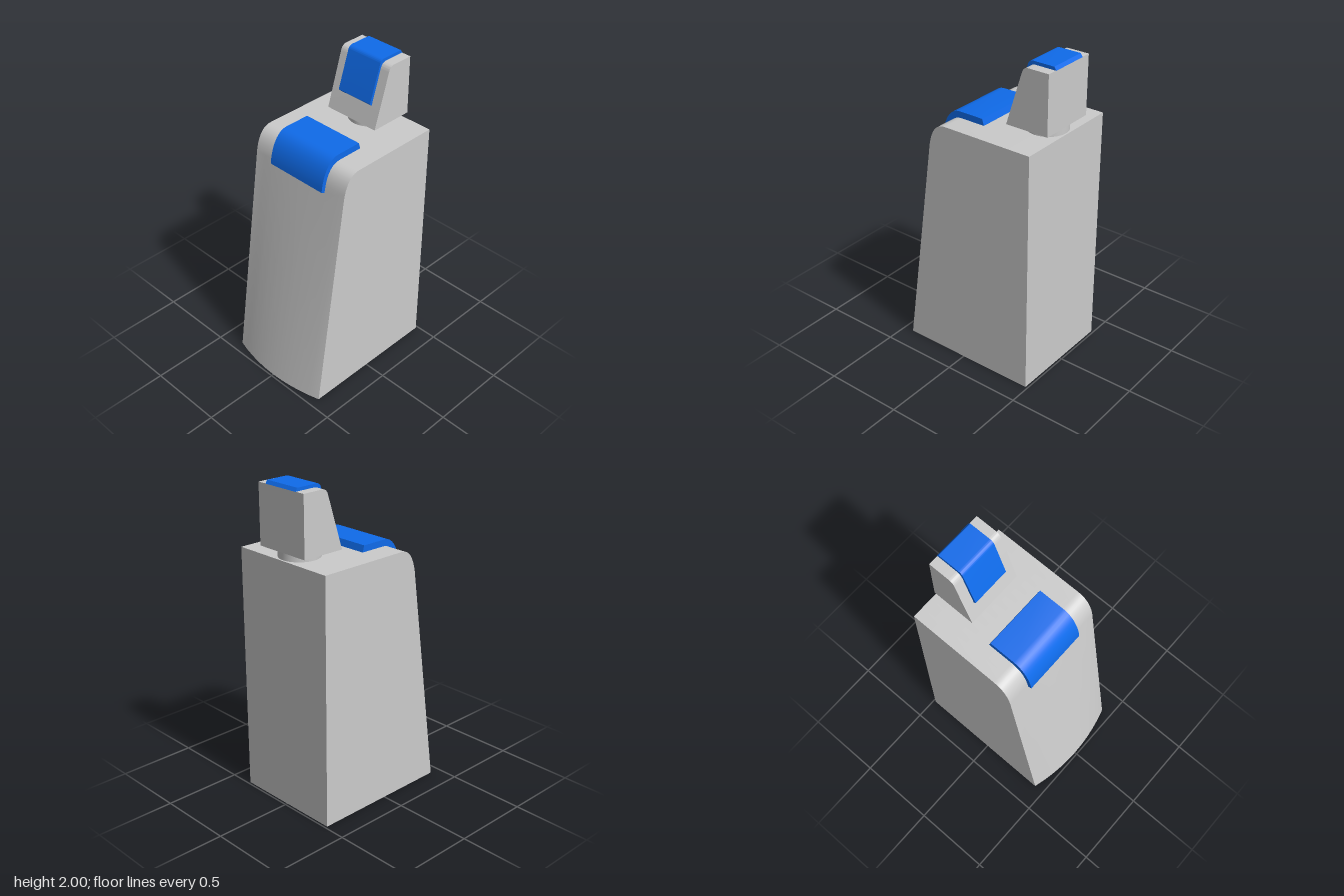
import * as THREE from 'three';
import { toCreasedNormals } from 'three/addons/utils/BufferGeometryUtils.js';

const grey = new THREE.MeshStandardMaterial({ color: 0xcccccc });
const blue = new THREE.MeshStandardMaterial({ color: 0x0f6bea });

// Extrudes a side profile drawn in (z, y) across the width, centred on x = 0
function sideExtrude(shape, width, steps = 1) {
  const geo = new THREE.ExtrudeGeometry(shape, { depth: width, steps, bevelEnabled: false, curveSegments: 10 });
  geo.translate(0, 0, -width / 2);
  geo.rotateY(-Math.PI / 2);
  return geo;
}

function addPart(group, name, geo, material) {
  const mesh = new THREE.Mesh(toCreasedNormals(geo, 0.5), material);
  mesh.name = name;
  group.add(mesh);
}

export function createModel() {
  const group = new THREE.Group();
  group.name = 'pedestalDispenser';

  // Tall body: sloping front with a rounded shoulder
  const shoulderY = 1.42, halfWidth = 0.357;
  const body = new THREE.Shape();
  body.moveTo(-0.485, 0);
  body.lineTo(0.432, 0);
  body.lineTo(0.226, shoulderY);
  body.quadraticCurveTo(0.2, 1.565, 0.11, 1.565);
  body.lineTo(-0.485, 1.565);
  body.closePath();
  const bodyGeo = sideExtrude(body, halfWidth * 2, 10);

  // Bow the front outwards, strongest at the foot and fading to the shoulder
  const pos = bodyGeo.attributes.position;
  for (let i = 0; i < pos.count; i++) {
    const x = pos.getX(i), y = pos.getY(i), z = pos.getZ(i);
    if (z > 0 && y < shoulderY) {
      pos.setZ(i, z + 0.053 * (1 - (x / halfWidth) ** 2) * (1 - y / shoulderY));
    }
  }
  addPart(group, 'body', bodyGeo, grey);

  // Curved plate wrapped over the shoulder
  const plate = new THREE.Shape();
  plate.moveTo(0.229, 1.397);
  plate.lineTo(0.253, 1.41);
  plate.bezierCurveTo(0.245, 1.5, 0.2, 1.605, 0.125, 1.605);
  plate.lineTo(-0.044, 1.605);
  plate.lineTo(-0.057, 1.565);
  plate.lineTo(0.11, 1.565);
  plate.quadraticCurveTo(0.2, 1.565, 0.226, 1.42);
  plate.closePath();
  addPart(group, 'shoulderPlate', sideExtrude(plate, 0.418), blue);

  // Round neck
  const neck = new THREE.CylinderGeometry(0.125, 0.125, 0.045, 40);
  neck.translate(0, 1.5875, -0.35);
  addPart(group, 'neck', neck, grey);

  // Wedge-shaped head
  const head = new THREE.Shape();
  head.moveTo(-0.48, 1.61);
  head.lineTo(-0.198, 1.61);
  head.lineTo(-0.303, 1.945);
  head.quadraticCurveTo(-0.314, 1.98, -0.345, 1.98);
  head.lineTo(-0.48, 1.98);
  head.closePath();
  addPart(group, 'head', sideExtrude(head, 0.374), grey);

  // Folded plate over the head's front and top
  const cover = new THREE.Shape();
  cover.moveTo(-0.236, 1.731);
  cover.lineTo(-0.221, 1.746);
  cover.lineTo(-0.297, 1.975);
  cover.quadraticCurveTo(-0.305, 2, -0.33, 2);
  cover.lineTo(-0.469, 2);
  cover.lineTo(-0.483, 1.98);
  cover.lineTo(-0.345, 1.98);
  cover.quadraticCurveTo(-0.314, 1.98, -0.303, 1.945);
  cover.closePath();
  addPart(group, 'headPlate', sideExtrude(cover, 0.248), blue);

  return group;
}
